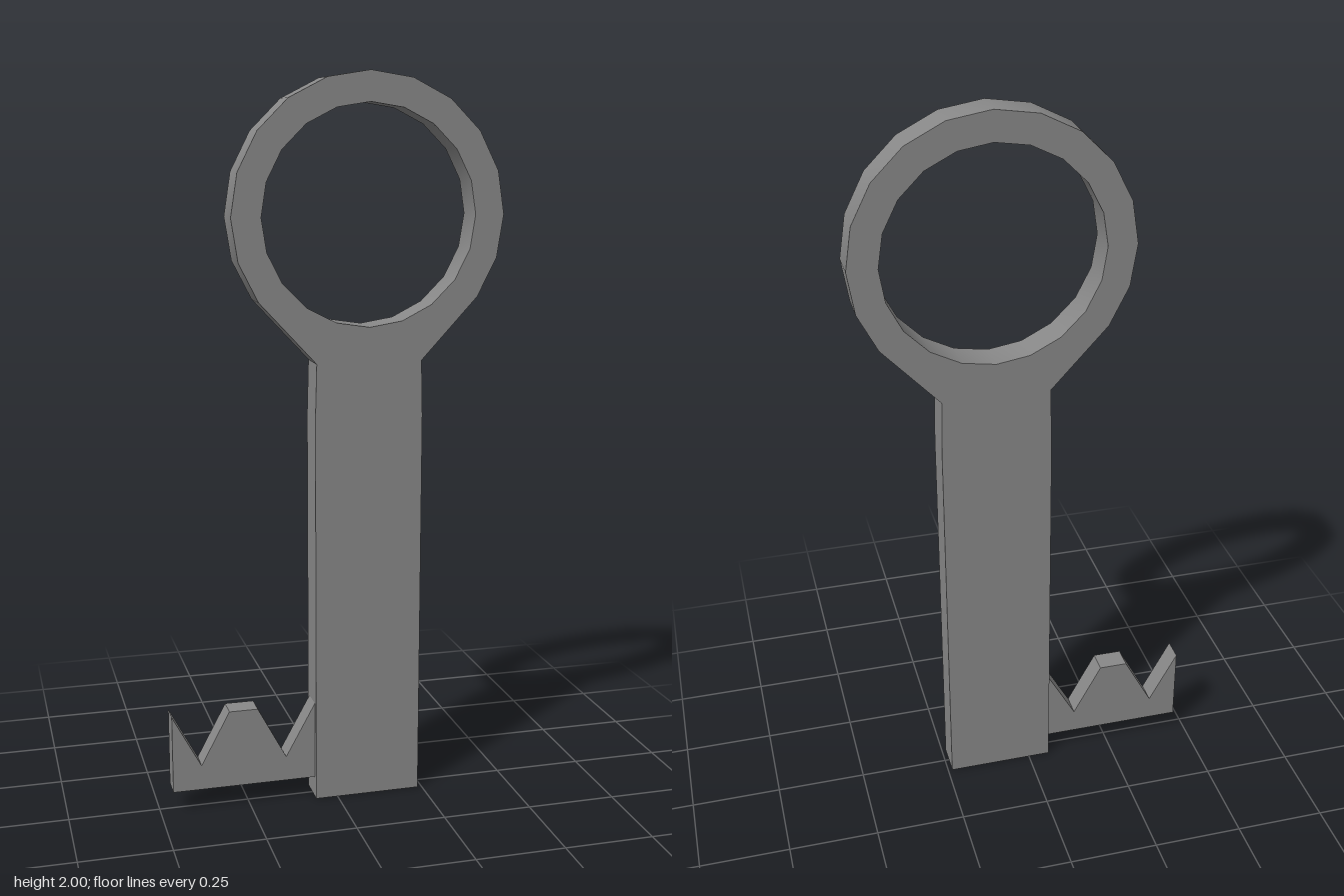
import * as THREE from 'three';
import { toCreasedNormals } from 'three/addons/utils/BufferGeometryUtils.js';

const metal = new THREE.MeshStandardMaterial({ color: 0x888888 });
metal.name = 'grey metal';

// Flat plate of the given thickness, centred on z = 0
function plate(name, shape, depth) {
  const extruded = new THREE.ExtrudeGeometry(shape, { depth, bevelEnabled: false });
  extruded.translate(0, 0, -depth / 2);
  const mesh = new THREE.Mesh(toCreasedNormals(extruded, Math.PI / 6), metal);
  mesh.name = name;
  return mesh;
}

export function createModel() {
  const group = new THREE.Group();
  group.name = 'key';

  const cx = 0.088, cy = 1.627, sides = 20;
  const ringPoint = (r, k) => {
    const a = (k / sides) * Math.PI * 2;
    return new THREE.Vector2(cx + r * Math.cos(a), cy + r * Math.sin(a));
  };

  // Bow and shank share one outline: ring arc, sloping neck, straight shank
  const outline = [];
  for (let k = -2; k <= 12; k++) outline.push(ringPoint(0.373, k));
  for (const [x, y] of [[-0.146, 1.24], [-0.15, 1.09], [-0.15, 0], [0.15, 0], [0.15, 1.09], [0.146, 1.24]]) {
    outline.push(new THREE.Vector2(cx + x, y));
  }
  const body = new THREE.Shape(outline);

  // Finger hole through the bow
  const hole = [];
  for (let k = 0; k < sides; k++) hole.push(ringPoint(0.293, -k));
  body.holes.push(new THREE.Path(hole));
  group.add(plate('bowAndShank', body, 0.093));

  // Toothed bit, thinner than the shank
  const bit = new THREE.Shape([
    [-0.465, 0.06], [-0.062, 0.06], [-0.062, 0.28], [-0.145, 0.13],
    [-0.225, 0.28], [-0.305, 0.28], [-0.385, 0.13], [-0.465, 0.28],
  ].map(([x, y]) => new THREE.Vector2(x, y)));
  group.add(plate('toothedBit', bit, 0.064));

  return group;
}
